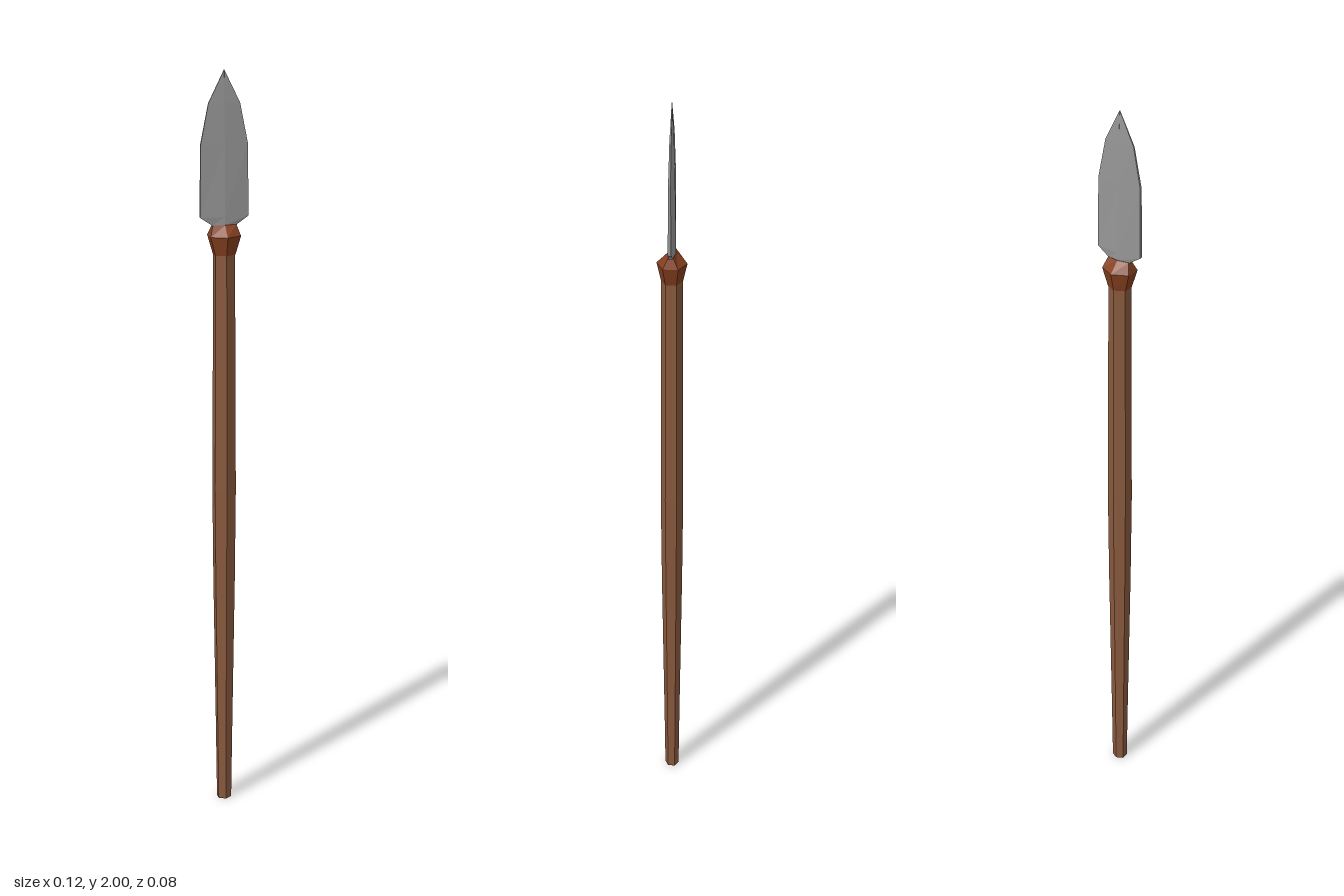
import * as THREE from 'three';

const wood = new THREE.MeshStandardMaterial({ color: 0x8a5a3e, flatShading: true });
wood.name = 'wood';
const binding = new THREE.MeshStandardMaterial({ color: 0x86401f, flatShading: true });
binding.name = 'redBrownBinding';
const steel = new THREE.MeshStandardMaterial({ color: 0x969696, flatShading: true });
steel.name = 'steel';

// Lofts six-sided sections: [y, half width, half depth at the centre, half depth at the sides]
function loft(name, sections, material) {
  const rings = sections.map(([y, x, zc, ze]) =>
    [[0, zc], [x, ze], [x, -ze], [0, -zc], [-x, -ze], [-x, ze]].map(([px, pz]) => [px, y, pz]));
  const positions = [];
  const tri = (...corners) => corners.forEach((p) => positions.push(...p));
  for (let i = 0; i < rings.length - 1; i++) {
    for (let j = 0; j < 6; j++) {
      const k = (j + 1) % 6;
      const a = rings[i][j], b = rings[i][k], c = rings[i + 1][k], d = rings[i + 1][j];
      tri(a, b, c);
      tri(a, c, d);
    }
  }
  // End caps
  const bottom = rings[0], top = rings[rings.length - 1];
  for (let j = 1; j < 5; j++) {
    tri(bottom[0], bottom[j + 1], bottom[j]);
    tri(top[0], top[j], top[j + 1]);
  }
  const geometry = new THREE.BufferGeometry();
  geometry.setAttribute('position', new THREE.Float32BufferAttribute(positions, 3));
  geometry.computeVertexNormals();
  const mesh = new THREE.Mesh(geometry, material);
  mesh.name = name;
  return mesh;
}

export function createModel() {
  const group = new THREE.Group();
  group.name = 'spear';

  // Hexagonal shaft, swelling gently around the grip
  const shaft = [[0, 0.018], [0.18, 0.02], [0.42, 0.023], [0.66, 0.026],
    [0.92, 0.028], [1.1, 0.027], [1.55, 0.025]];
  group.add(loft('shaft', shaft.map(([y, r]) => [y, r, r * 1.06, r * 0.53]), wood));

  // Flared collar that narrows to the flat foot of the blade
  group.add(loft('collar', [
    [1.545, 0.026, 0.027, 0.0135],
    [1.593, 0.039, 0.038, 0.019],
    [1.62, 0.03, 0.011, 0.006],
  ], binding));

  // Blade with a shallow central ridge
  group.add(loft('blade', [
    [1.605, 0.026, 0.009, 0.005],
    [1.62, 0.032, 0.01, 0.005],
    [1.64, 0.062, 0.01, 0.004],
    [1.82, 0.06, 0.007, 0.003],
    [1.92, 0.04, 0.0045, 0.002],
    [2, 0.0005, 0.001, 0.0005],
  ], steel));

  return group;
}
